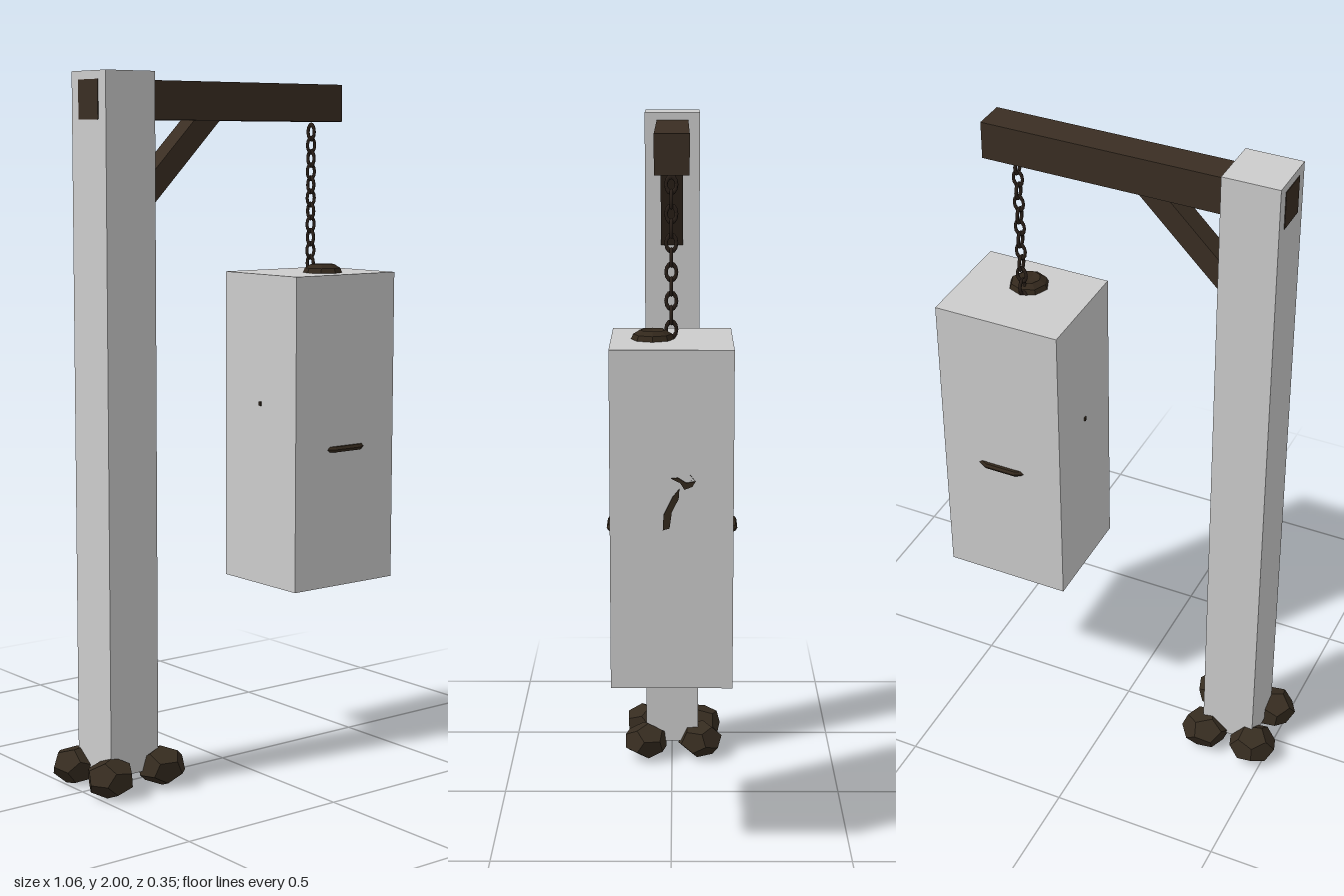
import * as THREE from 'three';

const material = (name, color, flatShading = false) => {
  const m = new THREE.MeshStandardMaterial({ color, flatShading });
  m.name = name;
  return m;
};

export function createModel() {
  const root = new THREE.Group();
  root.name = 'hangingPost';
  const grey = material('pale grey', 0xcccccc);
  const wood = material('dark wood', 0x3a2e23, true);
  const stone = material('brown stone', 0x362c20, true);
  const iron = material('dark iron', 0x2a2019);
  const rust = material('rusty iron', 0x33281c, true);
  rust.side = THREE.DoubleSide;

  const add = (name, geometry, mat, x = 0, y = 0, z = 0, parent = root) => {
    const mesh = new THREE.Mesh(geometry, mat);
    mesh.name = name;
    mesh.position.set(x, y, z);
    parent.add(mesh);
    return mesh;
  };
  // Box given by its two opposite corners
  const block = (name, mat, [x0, y0, z0], [x1, y1, z1]) =>
    add(name, new THREE.BoxGeometry(x1 - x0, y1 - y0, z1 - z0), mat,
      (x0 + x1) / 2, (y0 + y1) / 2, (z0 + z1) / 2);

  // Upright post, with the beam end just showing through its outer side
  block('post', grey, [-0.456, 0.05, -0.082], [-0.294, 2, 0.08]);
  block('beam', wood, [-0.458, 1.87, -0.048], [0.41, 1.977, 0.045]);

  // Diagonal brace under the beam
  const braceShape = new THREE.Shape([[-0.3, 1.605], [-0.03, 1.875], [-0.12, 1.875], [-0.3, 1.695]]
    .map(([x, y]) => new THREE.Vector2(x, y)));
  add('brace', new THREE.ExtrudeGeometry(braceShape, { depth: 0.064, bevelEnabled: false }), wood, 0, 0, -0.032);

  // Stones around the foot: centre x, z and turn
  const stones = new THREE.Group();
  stones.name = 'footStones';
  root.add(stones);
  [[-0.461, -0.087, 0.3], [-0.305, -0.088, 1.2], [-0.46, 0.081, 2.1], [-0.284, 0.081, 2.9]].forEach(([x, z, turn]) => {
    const g = new THREE.DodecahedronGeometry(1);
    g.rotateX(turn * 0.7).rotateY(turn).scale(0.074, 0.056, 0.071);
    g.computeBoundingBox();
    g.translate(0, -g.boundingBox.min.y, 0);
    add('footStone', g, stone, x, 0, z, stones);
  });

  // Chain: long links, each turned a quarter from the one above
  const chain = new THREE.Group();
  chain.name = 'chain';
  chain.position.set(0.33, 0, 0);
  root.add(chain);
  const linkGeometry = new THREE.TorusGeometry(0.014, 0.0048, 6, 12);
  linkGeometry.scale(1, 1.5, 1);
  for (let i = 0; i < 12; i++) {
    const link = add('chainLink', linkGeometry, iron, 0, 1.84 - i * 0.0385, 0, chain);
    link.rotation.y = i % 2 ? 0 : Math.PI / 2;
  }

  // Hanging block with a hoop that swells through its front and back
  block('hangingBlock', grey, [0.141, 0.51, -0.165], [0.519, 1.43, 0.162]);
  const hoop = add('hoop', new THREE.TorusGeometry(0.174, 0.0095, 6, 12), rust, 0.333, 0.92, -0.002);
  hoop.rotation.set(Math.PI / 2, 0, Math.PI / 12);

  // Cap breaking through the top, and the point below
  const capProfile = [[0.058, 0], [0.052, 0.014], [0.034, 0.025], [0.018, 0.016], [0, 0.012]]
    .map(([r, y]) => new THREE.Vector2(r, y));
  add('cap', new THREE.LatheGeometry(capProfile, 8), rust, 0.335, 1.43, 0.05);
  add('lowerPoint', new THREE.ConeGeometry(0.012, 0.012, 6).rotateX(Math.PI), rust, 0.333, 0.51, 0);

  // Jagged slivers on the outer side: outlines in (-z, y)
  const slivers = [
    [[-0.022, 0.95], [-0.004, 0.955], [0.002, 1.0], [0.02, 1.035], [0.022, 1.062], [0.004, 1.04], [-0.02, 0.99]],
    [[0, 1.09], [0.018, 1.092], [0.04, 1.078], [0.064, 1.082], [0.05, 1.1], [0.056, 1.068], [0.035, 1.06], [0.024, 1.078]],
  ];
  slivers.forEach((points) => {
    const shape = new THREE.Shape(points.map(([u, y]) => new THREE.Vector2(u, y)));
    const sliver = add('sideSliver', new THREE.ExtrudeGeometry(shape, { depth: 0.006, bevelEnabled: false }), rust, 0.518);
    sliver.rotation.y = Math.PI / 2;
  });
  add('sideSpeck', new THREE.BoxGeometry(0.006, 0.012, 0.008), rust, 0.14, 1.05, 0);

  return root;
}
